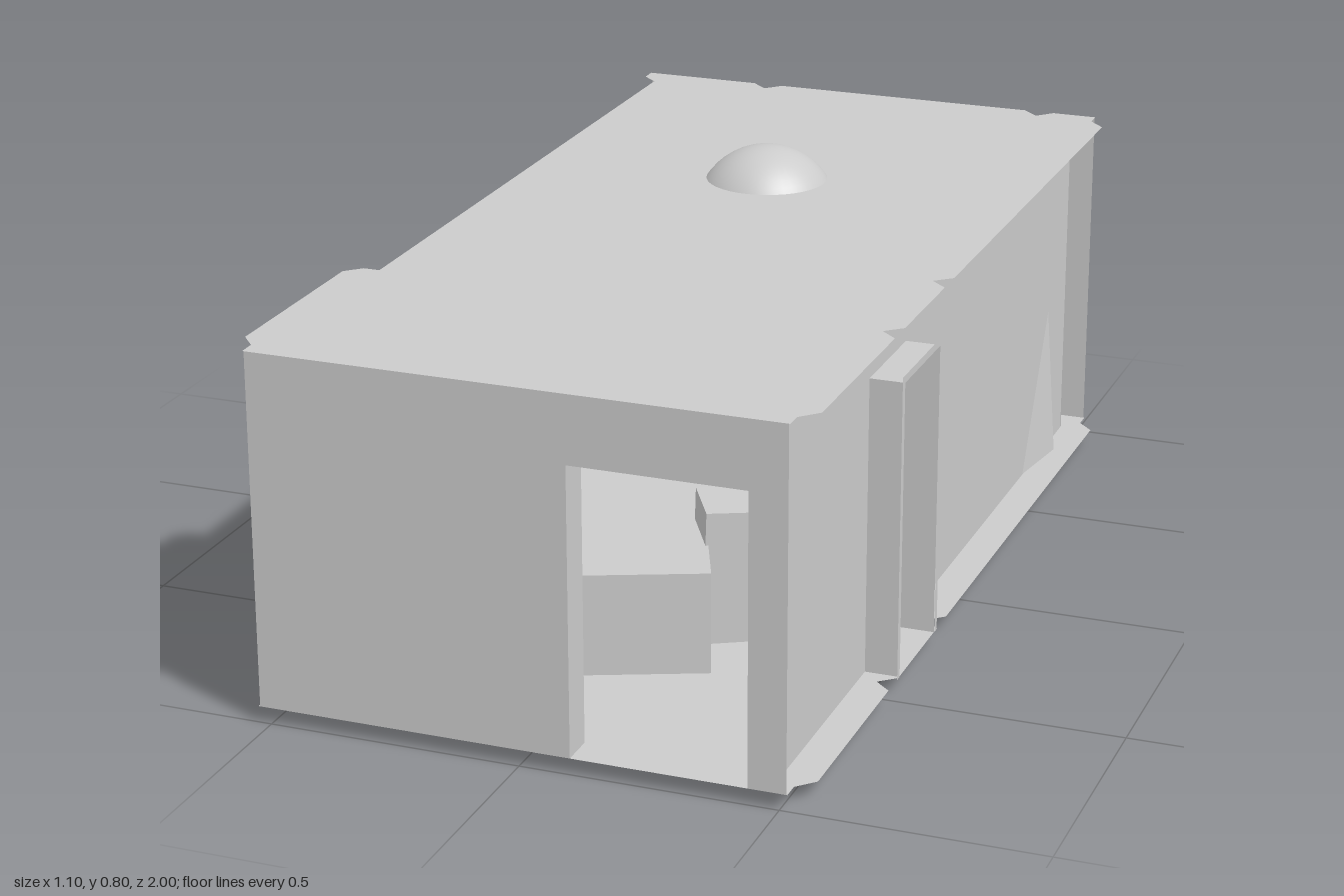
import * as THREE from 'three';

const FLOOR = 0.035, ROOF = 0.735;

export function createModel() {
  const model = new THREE.Group();
  model.name = 'storageRoom';
  const mat = new THREE.MeshStandardMaterial({ color: 0xcccccc, side: THREE.DoubleSide, flatShading: true });
  const smooth = new THREE.MeshStandardMaterial({ color: 0xcccccc });

  function add(parent, name, geo, pos = [0, 0, 0], rot = [0, 0, 0], material = mat) {
    const mesh = new THREE.Mesh(geo, material);
    mesh.name = name;
    mesh.position.set(...pos);
    mesh.rotation.set(...rot);
    parent.add(mesh);
  }

  const polygon = pts => new THREE.Shape(pts.map(p => new THREE.Vector2(...p)));

  // Upright sheet from u0 to u1, with an optional doorway {a, b, top} reaching the floor
  function sheet(u0, u1, top, door) {
    const gap = door ? [[door.a, FLOOR], [door.a, door.top], [door.b, door.top], [door.b, FLOOR]] : [];
    return new THREE.ShapeGeometry(polygon([[u0, FLOOR], ...gap, [u1, FLOOR], [u1, top], [u0, top]]));
  }

  // Wall sheet in its own frame: u along the wall, z pointing outwards
  function wall(name, angle, z, u0, u1, door) {
    const g = new THREE.Group();
    g.name = name;
    g.rotation.y = angle;
    add(g, 'wallSheet', sheet(u0, u1, ROOF, door), [0, 0, z]);
    model.add(g);
    return g;
  }

  // Lining of a doorway between two depths
  function doorLining(parent, door, z0, z1) {
    const d = z1 - z0, mid = (z0 + z1) / 2, h = door.top - FLOOR;
    for (const u of [door.a, door.b]) {
      add(parent, 'doorJamb', new THREE.PlaneGeometry(d, h), [u, FLOOR + h / 2, mid], [0, Math.PI / 2, 0]);
    }
    add(parent, 'doorHead', new THREE.PlaneGeometry(door.b - door.a, d),
      [(door.a + door.b) / 2, door.top, mid], [Math.PI / 2, 0, 0]);
  }

  // Flat trim around a doorway
  function doorTrim(parent, door, t, z) {
    add(parent, 'doorTrim', sheet(door.a - t, door.b + t, door.top + t, door), [0, 0, z]);
  }

  // Notched floor and roof sheets, outline in x, z
  const outline = [
    [-0.525, 1], [0.515, 1], [0.515, 0.965], [0.548, 0.93],
    [0.548, 0.525], [0.515, 0.495], [0.548, 0.465], [0.548, 0.22], [0.515, 0.19], [0.548, 0.16],
    [0.548, -0.93], [0.515, -0.965], [0.515, -1],
    [0.42, -1], [0.39, -0.967], [0.355, -1], [-0.21, -1], [-0.24, -0.967], [-0.275, -1],
    [-0.525, -1], [-0.525, -0.965], [-0.492, -0.935], [-0.492, 0.5],
    [-0.525, 0.5], [-0.555, 0.53], [-0.555, 0.93], [-0.525, 0.965]];
  const plate = new THREE.ShapeGeometry(polygon(outline.map(([x, z]) => [x, -z])));
  plate.rotateX(-Math.PI / 2);
  add(model, 'floor', plate, [0, FLOOR, 0]);
  add(model, 'roof', plate, [0, ROOF, 0]);

  // Stepped ceiling rings
  const rect = (x0, x1, z) => polygon([[x0, -z], [x1, -z], [x1, z], [x0, z]]);
  [[0, 0.715], [0.09, 0.725]].forEach(([inset, y]) => {
    const s = rect(-0.46 + inset, 0.48 - inset, 0.93 - inset);
    s.holes.push(rect(-0.4 + inset, 0.42 - inset, 0.87 - inset));
    add(model, 'ceilingStep', new THREE.ShapeGeometry(s).rotateX(-Math.PI / 2), [0, y, 0]);
  });

  // Front wall: two skins joined by the door lining
  const frontDoor = { a: 0.1, b: 0.44, top: 0.602 };
  const front = wall('frontWall', 0, 1, -0.522, 0.513, frontDoor);
  wall('frontInnerWall', 0, 0.93, -0.49, 0.48, frontDoor);
  doorLining(front, frontDoor, 0.93, 1);

  // Right wall with a projecting door frame
  const sideDoor = { a: -0.46, b: -0.24, top: 0.627 };
  const right = wall('rightWall', Math.PI / 2, 0.48, -0.93, 0.925, sideDoor);
  doorLining(right, sideDoor, 0.48, 0.548);
  doorTrim(right, sideDoor, 0.015, 0.549);

  // Left wall, with the front bay set further out
  wall('leftWall', -Math.PI / 2, 0.468, -0.93, 0.5, { a: 0.24, b: 0.465, top: 0.602 });
  wall('leftBay', -Math.PI / 2, 0.49, 0.5, 0.93);

  // Back wall: two flush piers and a recessed wall with a projecting door frame
  const backDoor = { a: -0.295, b: 0.165, top: 0.602 };
  wall('backPierRight', Math.PI, 1, -0.513, -0.42);
  wall('backPierLeft', Math.PI, 1, 0.275, 0.522);
  const back = wall('backWall', Math.PI, 0.93, -0.48, 0.468, backDoor);
  doorLining(back, backDoor, 0.93, 0.999);
  doorTrim(back, backDoor, 0.018, 1);

  // Roof dome
  add(model, 'dome', new THREE.SphereGeometry(0.15, 40, 28), [-0.005, 0.652, -0.33], [0, 0, 0], smooth);

  // Loose crates: size, centre, tilt
  [
    [[0.143, 0.272, 0.137], [0.18, 0.168, 0.355], [0, 0.51, -0.03]],
    [[0.3, 0.205, 0.34], [0.006, 0.138, 0.472], [0, 0.4, 0]],
    [[0.165, 0.325, 0.2], [0.396, 0.192, -0.7], [0, -0.14, 0.075]],
    [[0.255, 0.27, 0.19], [-0.012, 0.151, -0.686], [0.12, 0.03, 0.02]],
    [[0.1, 0.15, 0.35], [0.42, 0.11, -0.36], [0, 0, 0]],
  ].forEach(([size, pos, rot]) => add(model, 'crate', new THREE.BoxGeometry(...size), pos, rot));

  // Tilted box mounted high on the left
  add(model, 'wallBox', new THREE.BoxGeometry(0.15, 0.12, 0.17), [-0.37, 0.565, 0.45], [0.75, 0, 0.1]);

  return model;
}
